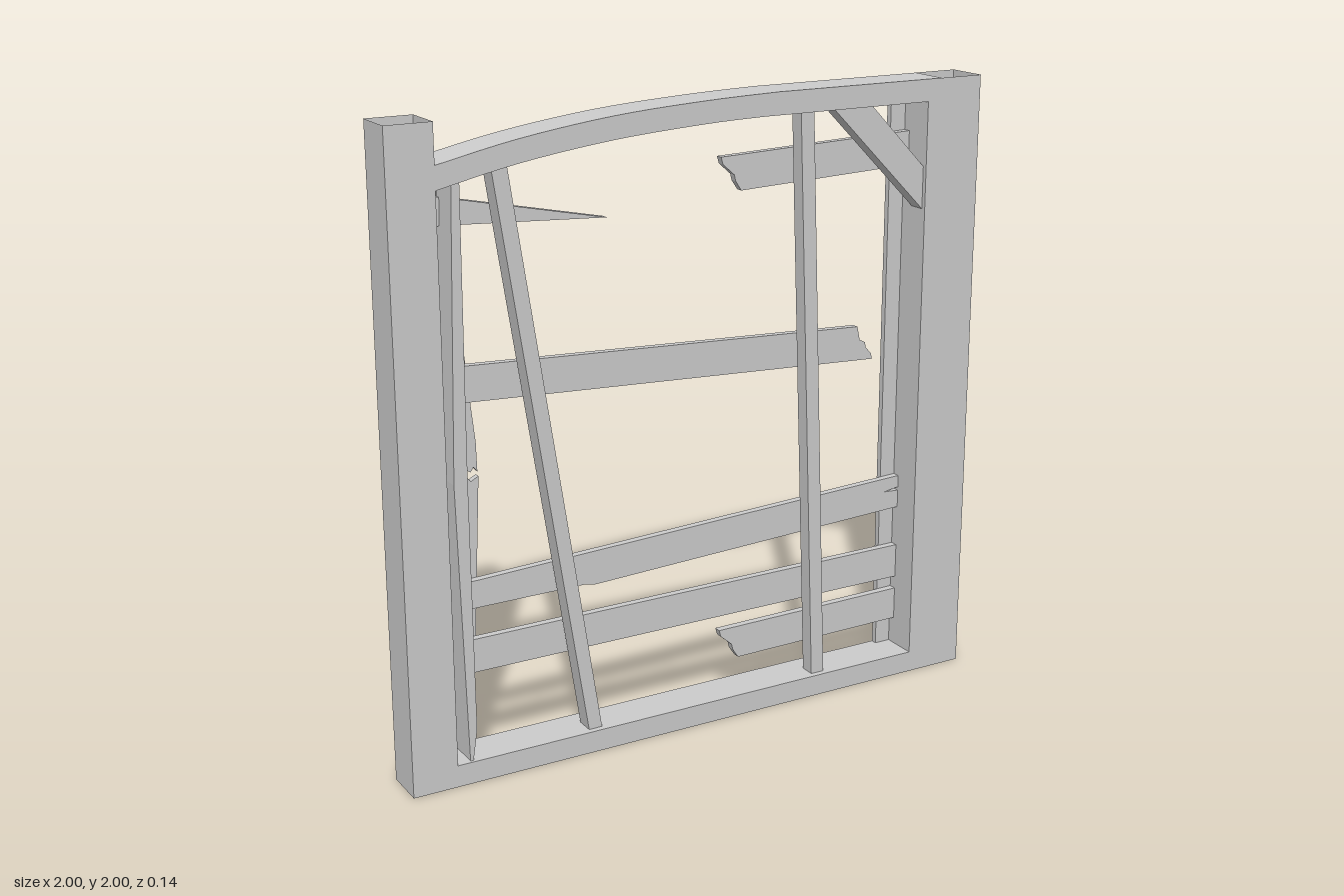
import * as THREE from 'three';

const material = new THREE.MeshStandardMaterial({ color: 0xcccccc, side: THREE.DoubleSide });
const DEPTH = 0.07; // half depth of the frame

// Flat piece cut from an outline in x/y, spanning zBack..zFront
function slab(name, points, zBack, zFront) {
  const shape = new THREE.Shape(points.map(([x, y]) => new THREE.Vector2(x, y)));
  const geometry = new THREE.ExtrudeGeometry(shape, { depth: zFront - zBack, bevelEnabled: false });
  geometry.translate(0, 0, zBack);
  const mesh = new THREE.Mesh(geometry, material);
  mesh.name = name;
  return mesh;
}

// Hollow post: box walls without the top and bottom caps
function post(name, x0, x1) {
  const geometry = new THREE.BoxGeometry(x1 - x0, 2, DEPTH * 2);
  const index = Array.from(geometry.index.array);
  index.splice(12, 12);
  geometry.setIndex(index);
  geometry.clearGroups();
  geometry.translate((x0 + x1) / 2, 1, 0);
  const mesh = new THREE.Mesh(geometry, material);
  mesh.name = name;
  return mesh;
}

const curve = (points) => new THREE.SplineCurve(points.map(([x, y]) => new THREE.Vector2(x, y)))
  .getPoints(20).map((p) => [p.x, p.y]);

export function createModel() {
  const group = new THREE.Group();
  group.name = 'brokenFencePanel';

  // Outer frame
  group.add(post('rightPost', -1, -0.855), post('leftPost', 0.8, 1));
  group.add(slab('bottomBeam', [[-0.855, 0], [0.85, 0], [0.85, 0.07], [-0.855, 0.07]], -DEPTH, DEPTH));
  const top = curve([[-0.855, 1.88], [-0.6, 1.932], [-0.3, 1.972], [0, 1.992], [0.25, 2]]);
  const under = curve([[0.2, 1.93], [0, 1.924], [-0.3, 1.903], [-0.6, 1.863], [-0.855, 1.81]]);
  group.add(slab('archedTopBeam', [...top, [0.85, 2], [0.85, 1.93], ...under], -DEPTH, DEPTH));

  // Corner brace
  group.add(slab('cornerBrace', [[0.46, 1.93], [0.8, 1.59], [0.8, 1.725], [0.6, 1.93]], 0, 0.055));

  // Leaning uprights on the front
  group.add(slab('leaningBar', [[-0.405, 0.07], [-0.36, 0.07], [-0.632, 1.865], [-0.68, 1.855]], -0.01, 0.05));
  group.add(slab('leaningBar', [[0.418, 0.07], [0.465, 0.07], [0.39, 1.935], [0.343, 1.935]], 0, 0.05));
  group.add(slab('warpedBar', [[-0.81, 0.07], [-0.8, 0.07], [-0.785, 0.17], [-0.787, 0.95],
    [-0.78, 1.84], [-0.805, 1.835], [-0.83, 0.95]], -0.045, 0.06));

  // Upright boards at the back, one snapped in two
  group.add(slab('backBoard', [[0.745, 0.07], [0.82, 0.07], [0.82, 1.94], [0.745, 1.94]], -DEPTH, -0.05));
  group.add(slab('snappedBoardTop', [[-0.88, 1.815], [-0.835, 0.93], [-0.8, 0.915], [-0.78, 0.935],
    [-0.765, 0.925], [-0.75, 0.955], [-0.73, 0.94], [-0.72, 0.955], [-0.708, 0.94], [-0.71, 1.03],
    [-0.728, 1.2], [-0.785, 1.835]], -DEPTH, -0.05));
  group.add(slab('snappedBoardBottom', [[-0.87, 0.07], [-0.75, 0.07], [-0.705, 0.925], [-0.73, 0.912],
    [-0.745, 0.93], [-0.76, 0.9], [-0.775, 0.912], [-0.79, 0.89], [-0.835, 0.9]], -DEPTH, -0.05));

  // Cross planks, whole and broken
  const planks = {
    splinterPlank: [[-0.91, 1.69], [-0.8, 1.69], [-0.28, 1.66], [-0.8, 1.77], [-0.91, 1.795]],
    brokenMiddlePlank: [[-0.88, 1.17], [0.68, 1.095], [0.675, 1.115], [0.655, 1.135], [0.65, 1.155],
      [0.63, 1.165], [0.62, 1.21], [-0.88, 1.28]],
    slopingPlank: [[-0.88, 0.52], [-0.37, 0.522], [-0.34, 0.515], [0.84, 0.565], [0.84, 0.62],
      [0.745, 0.625], [0.84, 0.64], [0.84, 0.675], [-0.88, 0.602]],
    lowerPlank: [[-0.88, 0.313], [0.84, 0.313], [0.84, 0.427], [-0.88, 0.42]],
  };
  for (const [name, points] of Object.entries(planks)) group.add(slab(name, points, -0.05, -0.025));

  // Two short stubs with the same jagged end
  for (const [name, y, rise] of [['upperStub', 1.695, 0.025], ['lowerStub', 0.155, 0.007]]) {
    group.add(slab(name, [[0.18, y], [0.84, y + rise], [0.84, y + 0.108 + rise], [0.108, y + 0.108],
      [0.115, y + 0.085], [0.155, y + 0.05], [0.16, y + 0.03]], -0.05, -0.025));
  }
  return group;
}
